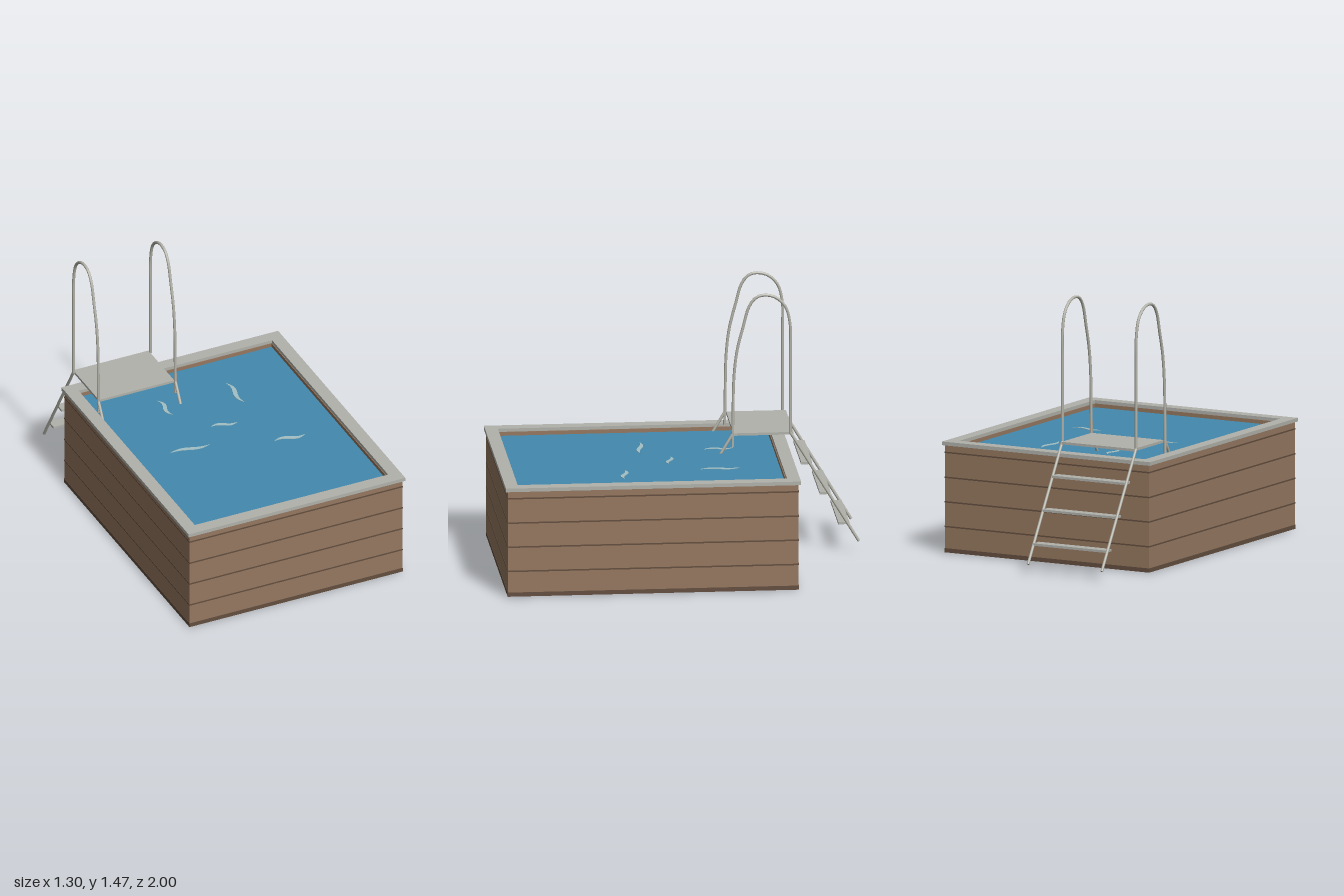
import * as THREE from 'three';

const mat = (name, color) => {
  const m = new THREE.MeshStandardMaterial({ color });
  m.name = name;
  return m;
};

export function createModel() {
  const root = new THREE.Group();
  root.name = 'swimmingPool';
  const wood = mat('wood', 0x957860);
  const darkWood = mat('darkWood', 0x634e3e);
  const stone = mat('stone', 0xb2b2ac);
  const metal = mat('metal', 0xb4b4aa);
  const water = mat('water', 0x4389ae);
  const liner = mat('liner', 0xa3c0c4);

  const CZ = 0.197; // centre of the basin along z

  const add = (parent, name, geometry, material, x = 0, y = 0, z = 0) => {
    const m = new THREE.Mesh(geometry, material);
    m.name = name;
    m.position.set(x, y, z);
    parent.add(m);
    return m;
  };

  // Rectangular frame between heights y0 and y1, given half sizes
  const frame = (name, ox, oz, ix, iz, y0, y1, material) => {
    const rect = (P, a, b) => {
      const p = new P();
      p.moveTo(-a, -b).lineTo(a, -b).lineTo(a, b).lineTo(-a, b).closePath();
      return p;
    };
    const s = rect(THREE.Shape, ox, oz);
    s.holes.push(rect(THREE.Path, ix, iz));
    const g = new THREE.ExtrudeGeometry(s, { depth: y1 - y0, bevelEnabled: false });
    g.rotateX(-Math.PI / 2);
    return add(root, name, g, material, 0, y0, CZ);
  };

  // Plank walls with dark joints, base band and coping
  frame('plankWall', 0.638, 0.791, 0.576, 0.729, 0.008, 0.597, wood);
  frame('baseBand', 0.64, 0.793, 0.575, 0.728, 0.005, 0.028, darkWood);
  [0.147, 0.283, 0.418, 0.555].forEach((y) =>
    frame('plankJoint', 0.64, 0.793, 0.6, 0.75, y - 0.004, y + 0.004, darkWood));
  frame('coping', 0.65, 0.803, 0.58, 0.733, 0.595, 0.615, stone);

  // Liner skirt, floor and water
  frame('linerWall', 0.58, 0.733, 0.57, 0.723, 0.006, 0.5, liner);
  add(root, 'floor', new THREE.BoxGeometry(1.15, 0.01, 1.456), liner, 0, 0.055, CZ);
  add(root, 'waterSurface', new THREE.BoxGeometry(1.154, 0.01, 1.46), water, 0, 0.571, CZ);

  // Tapered S-shaped ripples lying on the water
  const ripple = (x0, z0, x1, z1, amp, width) => {
    const len = Math.hypot(x1 - x0, z1 - z0);
    const edge = (side) => Array.from({ length: 17 }, (_, i) => {
      const u = i / 16;
      return new THREE.Vector2((u - 0.5) * len,
        amp * Math.sin(2 * Math.PI * u) + side * width * Math.sin(Math.PI * u));
    });
    const s = new THREE.Shape([...edge(-1), ...edge(1).reverse().slice(1, -1)]);
    const g = new THREE.ExtrudeGeometry(s, { depth: 0.003, bevelEnabled: false });
    g.rotateX(-Math.PI / 2);
    const m = add(root, 'ripple', g, liner, (x0 + x1) / 2, 0.5755, (z0 + z1) / 2);
    m.rotation.y = -Math.atan2(z1 - z0, x1 - x0);
  };
  ripple(-0.37, 0.18, -0.14, 0.195, 0.01, 0.012);
  ripple(-0.06, 0.04, 0.09, 0.06, 0.011, 0.011);
  ripple(0.19, 0.315, 0.37, 0.325, 0.013, 0.013);
  ripple(-0.215, -0.315, -0.195, -0.155, 0.013, 0.012);
  ripple(0.195, -0.315, 0.21, -0.1, 0.013, 0.013);

  // Ladder with a platform over the back edge
  const ladder = new THREE.Group();
  ladder.name = 'ladder';
  root.add(ladder);
  const R = 0.008;
  const V = (x, y, z) => new THREE.Vector3(x, y, z);

  const rod = (name, a, b) => {
    const d = b.clone().sub(a);
    const m = add(ladder, name, new THREE.CylinderGeometry(R, R, d.length(), 10), metal);
    m.position.copy(a).add(b).multiplyScalar(0.5);
    m.quaternion.setFromUnitVectors(V(0, 1, 0), d.normalize());
  };

  // Hoop profile as [z, y]
  const hoop = [[-0.303, 0.61], [-0.306, 0.8], [-0.311, 1.0], [-0.328, 1.15], [-0.363, 1.29],
    [-0.393, 1.395], [-0.43, 1.445], [-0.48, 1.459], [-0.54, 1.443], [-0.592, 1.39],
    [-0.617, 1.29], [-0.618, 1.15], [-0.618, 0.9], [-0.618, 0.68]];
  for (const x of [-0.571, -0.11]) {
    const path = new THREE.CatmullRomCurve3(hoop.map(([z, y]) => V(x, y, z)));
    add(ladder, 'handrail', new THREE.TubeGeometry(path, 64, R, 10), metal);
    rod('outerRail', V(x, 0.685, -0.618), V(x, 0.065, -0.991));
    rod('innerRail', V(x, 0.685, -0.306), V(x, 0.004, 0.1));
  }

  const MID = -0.34;
  add(ladder, 'platform', new THREE.BoxGeometry(0.452, 0.014, 0.325), stone, MID, 0.678, -0.473);
  // Treads on both sides of the wall
  for (let i = 0; i < 3; i++) {
    const y = 0.508 - i * 0.171;
    const g = new THREE.BoxGeometry(0.455, 0.013, 0.06);
    add(ladder, 'outerStep', g, stone, MID, y, -0.707 - i * 0.101);
    add(ladder, 'innerStep', g, stone, MID, y, -0.217 + i * 0.101);
  }
  return root;
}
